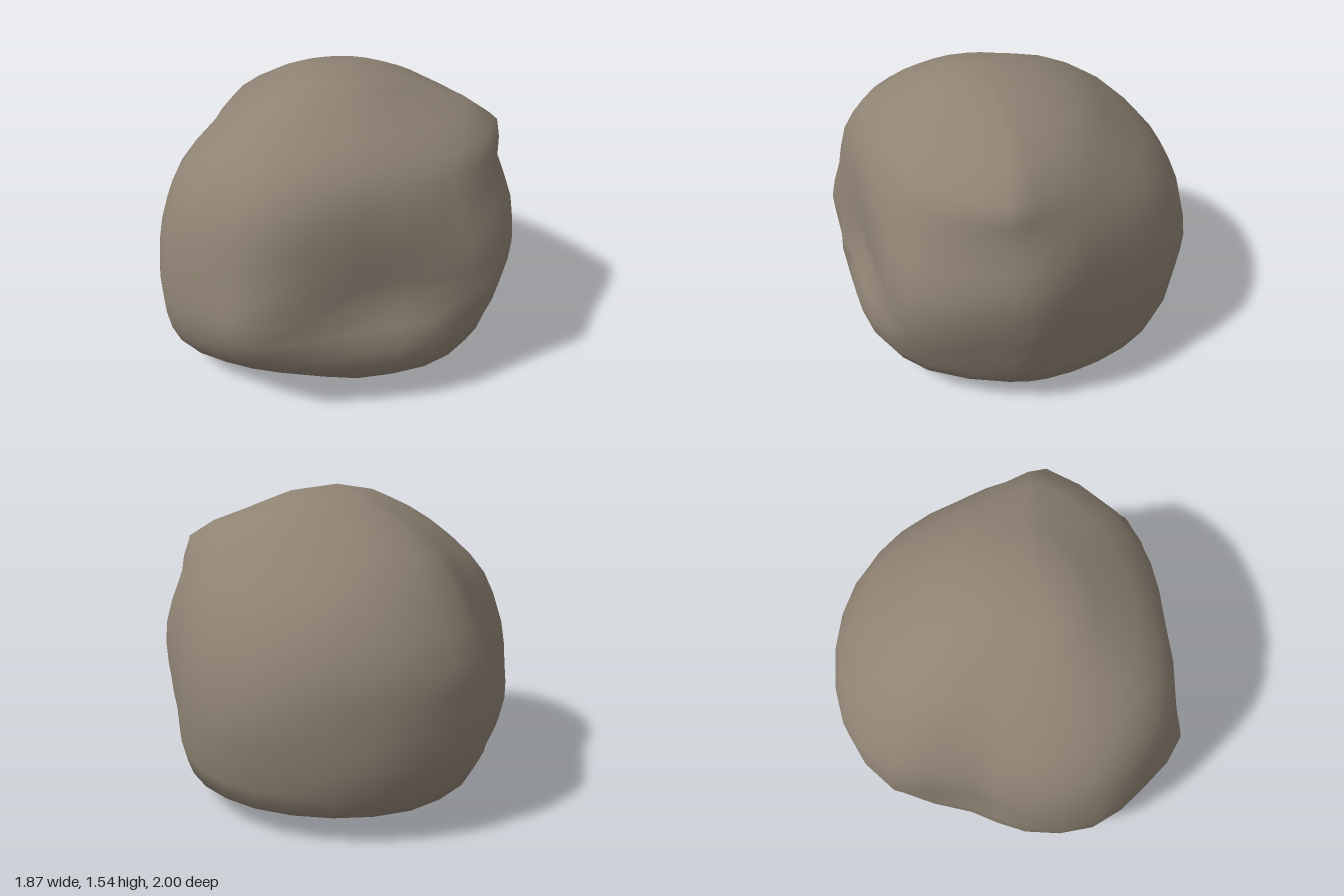
import * as THREE from 'three';

// Directions of the rock's corners and hollows, in degrees from +x towards +z
const ANGLES = [-9, 22, 45, 70, 99, 118, 137, 158, 177, 202, 225, 247, 270, 292, 315, 337];

// Outlines from the ground up: height, radius in each direction, rise of the outline along z
const RINGS = [
  { y: 0.04, radii: [0.55, 0.55, 0.57, 0.58, 0.57, 0.65, 0.78, 0.76, 0.70, 0.70, 0.74, 0.76, 0.74, 0.68, 0.62, 0.57], slope: -0.06 },
  { y: 0.16, radii: [0.78, 0.80, 0.80, 0.77, 0.80, 0.88, 0.97, 0.90, 0.84, 0.90, 0.96, 0.95, 0.92, 0.87, 0.81, 0.79], slope: 0.02 },
  { y: 0.38, radii: [0.85, 0.89, 0.87, 0.85, 0.97, 1.00, 1.03, 0.97, 0.90, 1.00, 1.04, 1.01, 0.98, 0.92, 0.84, 0.84] },
  { y: 0.58, radii: [0.89, 0.95, 0.80, 0.76, 1.01, 1.01, 1.03, 0.96, 0.86, 1.02, 1.04, 1.01, 1.00, 0.93, 0.85, 0.88] },
  { y: 0.82, radii: [0.90, 0.94, 0.80, 0.76, 0.94, 0.97, 0.99, 0.93, 0.84, 0.99, 1.01, 0.98, 0.95, 0.90, 0.83, 0.88] },
  { y: 1.06, radii: [0.81, 0.82, 0.77, 0.75, 0.88, 0.90, 0.90, 0.83, 0.75, 0.85, 0.87, 0.85, 0.82, 0.80, 0.77, 0.80] },
  { y: 1.26, radii: [0.79, 0.71, 0.66, 0.67, 0.74, 0.75, 0.71, 0.65, 0.61, 0.68, 0.68, 0.64, 0.61, 0.61, 0.64, 0.71] },
  { y: 1.42, radii: [0.46, 0.42, 0.42, 0.44, 0.49, 0.50, 0.47, 0.42, 0.39, 0.42, 0.42, 0.41, 0.41, 0.41, 0.42, 0.44] },
];
const AROUND = 32;
const UP = 16;

// Smooth closed outline
function outline({ y, radii, slope = 0 }) {
  const points = radii.map((r, k) => {
    const a = THREE.MathUtils.degToRad(ANGLES[k]);
    const z = Math.sin(a) * r;
    return new THREE.Vector3(Math.cos(a) * r, y + slope * z, z);
  });
  return new THREE.CatmullRomCurve3(points, true, 'centripetal');
}

function boulderGeometry() {
  const outlines = RINGS.map(outline);
  const shoulder = outlines[outlines.length - 1];
  const positions = [];
  const index = [];

  // Vertical ribs through the outlines, ending in a small crown
  for (let i = 0; i < AROUND; i++) {
    const points = outlines.map((o) => o.getPoint(i / AROUND));
    const edge = shoulder.getPoint(i / AROUND);
    points.push(new THREE.Vector3(edge.x * 0.5, 1.515, edge.z * 0.5 + 0.05));
    const rib = new THREE.CatmullRomCurve3(points, false, 'centripetal');
    for (let j = 0; j <= UP; j++) positions.push(...rib.getPoint(j / UP).toArray());
  }
  const bottom = positions.length / 3;
  const peak = bottom + 1;
  positions.push(0, 0.04, 0, 0, 1.55, 0.1);

  // Skin between the ribs, closed below and above
  for (let i = 0; i < AROUND; i++) {
    const a = i * (UP + 1);
    const b = ((i + 1) % AROUND) * (UP + 1);
    for (let j = 0; j < UP; j++) {
      index.push(a + j, a + j + 1, b + j, b + j, a + j + 1, b + j + 1);
    }
    index.push(bottom, a, b, peak, b + UP, a + UP);
  }

  const geometry = new THREE.BufferGeometry();
  geometry.setAttribute('position', new THREE.Float32BufferAttribute(positions, 3));
  geometry.setIndex(index);
  geometry.computeVertexNormals();
  return geometry;
}

export function createModel() {
  const group = new THREE.Group();
  group.name = 'rock';
  const stone = new THREE.MeshStandardMaterial({ color: 0x8e8273 });
  stone.name = 'stone';
  const boulder = new THREE.Mesh(boulderGeometry(), stone);
  boulder.name = 'boulder';
  group.add(boulder);
  return group;
}
